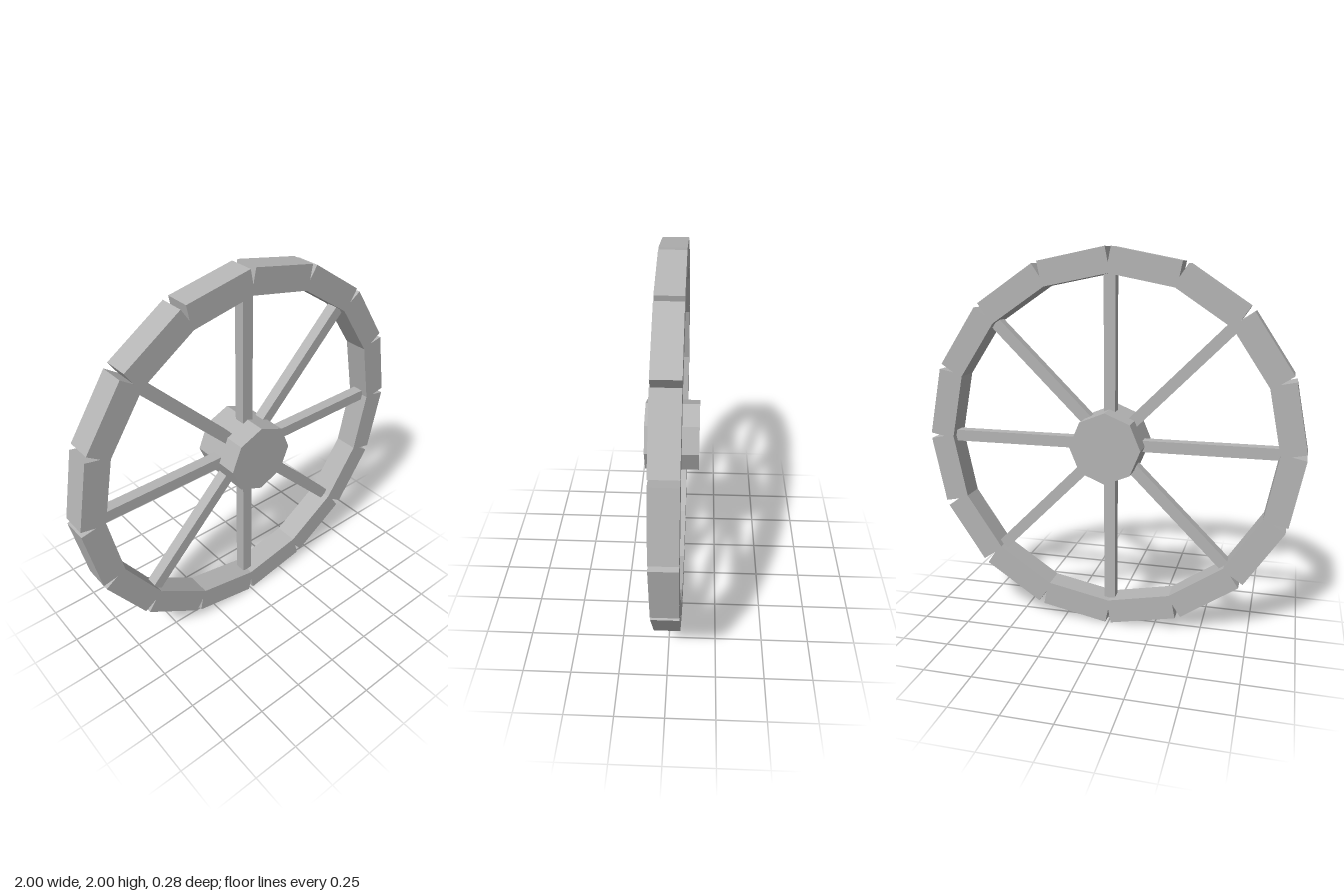
import * as THREE from 'three';

export function createModel() {
  const wheel = new THREE.Group();
  wheel.name = 'spokedWheel';
  wheel.position.y = 1;

  const grey = new THREE.MeshStandardMaterial({ color: 0xb4b4b4 });
  grey.name = 'plain grey';

  const add = (name, geometry, parent = wheel) => {
    const mesh = new THREE.Mesh(geometry, grey);
    mesh.name = name;
    parent.add(mesh);
    return mesh;
  };

  // Rim: sixteen straight blocks whose square ends leave V-shaped notches outside
  const rim = new THREE.Group();
  rim.name = 'rim';
  wheel.add(rim);
  const innerRadius = 0.854, outerRadius = 0.984;
  const blockGeometry = new THREE.BoxGeometry(outerRadius - innerRadius, 0.36, 0.132);
  blockGeometry.translate((innerRadius + outerRadius) / 2, 0, 0);
  for (let i = 0; i < 16; i++) {
    add('rimBlock', blockGeometry, rim).rotation.z = ((i + 0.5) * Math.PI) / 8;
  }

  // Spokes: eight square bars from inside the hub to the rim joints
  const spokes = new THREE.Group();
  spokes.name = 'spokes';
  wheel.add(spokes);
  const spokeStart = 0.1, spokeEnd = 0.87;
  const spokeGeometry = new THREE.BoxGeometry(spokeEnd - spokeStart, 0.06, 0.06);
  spokeGeometry.translate((spokeStart + spokeEnd) / 2, 0, 0);
  for (let i = 0; i < 8; i++) {
    add('spoke', spokeGeometry, spokes).rotation.z = (i * Math.PI) / 4;
  }

  // Hub: flat-sided octagonal drum with corners in line with the spokes
  const hubGeometry = new THREE.CylinderGeometry(0.187, 0.187, 0.28, 8).toNonIndexed();
  hubGeometry.rotateX(Math.PI / 2);
  hubGeometry.computeVertexNormals();
  add('hub', hubGeometry);

  return wheel;
}
